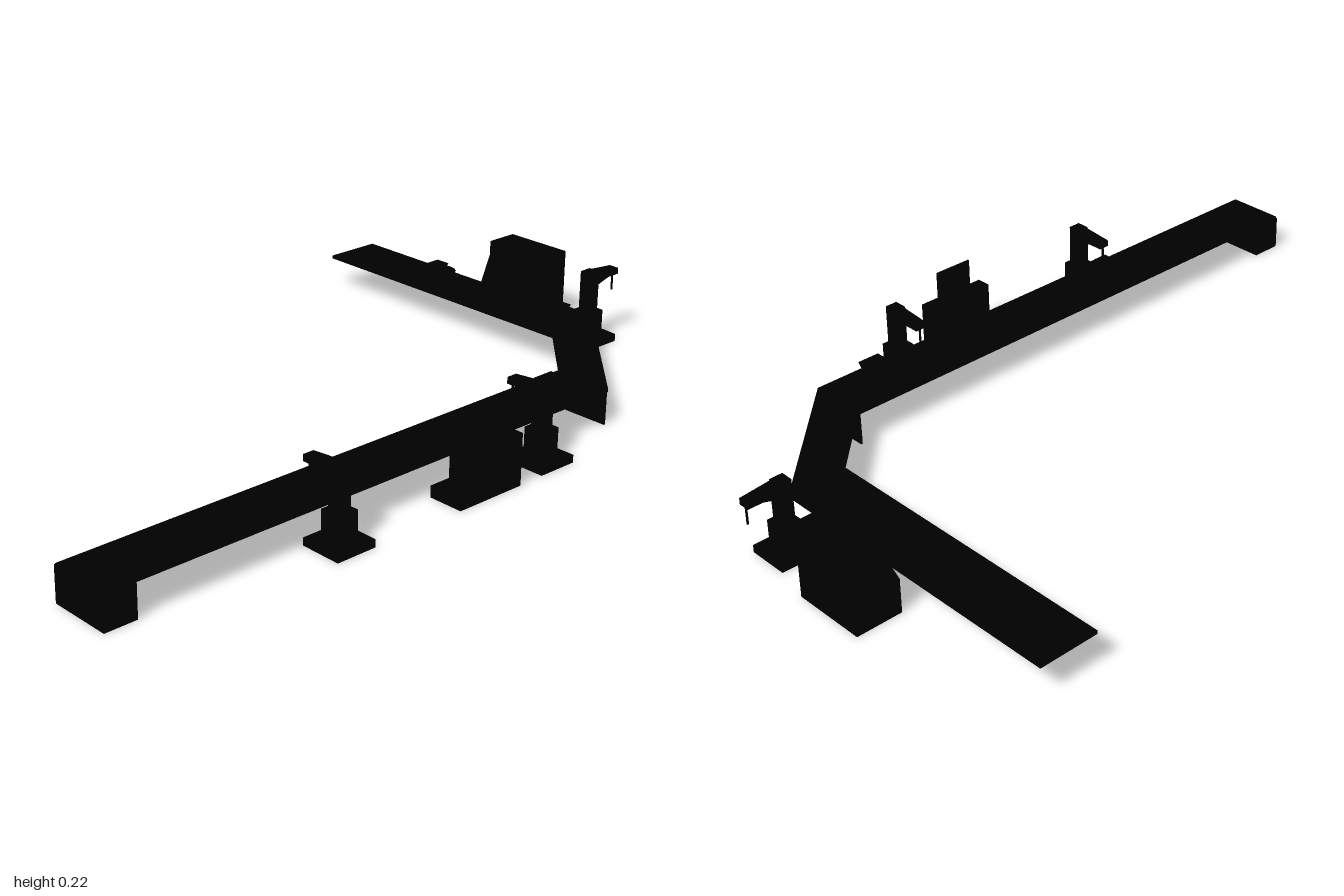
import * as THREE from 'three';

const material = new THREE.MeshStandardMaterial({ color: 0x000000, flatShading: true, side: THREE.DoubleSide });

function add(parent, name, geometry, x = 0, y = 0, z = 0) {
  const mesh = new THREE.Mesh(geometry, material);
  mesh.name = name;
  mesh.position.set(x, y, z);
  parent.add(mesh);
  return mesh;
}

// Box given by its minimum and maximum corners
function block(parent, name, [x0, y0, z0], [x1, y1, z1]) {
  return add(parent, name, new THREE.BoxGeometry(x1 - x0, y1 - y0, z1 - z0),
    (x0 + x1) / 2, (y0 + y1) / 2, (z0 + z1) / 2);
}

// Square frustum standing on y = 0
function frustum(bottom, top, height) {
  const g = new THREE.CylinderGeometry(top / Math.SQRT2, bottom / Math.SQRT2, height, 4);
  return g.rotateY(Math.PI / 4).translate(0, height / 2, 0);
}

// Outline extruded along z, centred on z = 0
function slab(points, depth) {
  const shape = new THREE.Shape(points.map(([x, y]) => new THREE.Vector2(x, y)));
  return new THREE.ExtrudeGeometry(shape, { depth, bevelEnabled: false }).translate(0, 0, -depth / 2);
}

// Arm station reaching towards -x
function station(x, z, turn) {
  const g = new THREE.Group();
  g.name = 'armStation';
  block(g, 'stationBase', [-0.055, 0, -0.055], [0.055, 0.02, 0.055]);
  add(g, 'stationBaseTop', frustum(0.11, 0.07, 0.012), 0, 0.02, 0);
  block(g, 'pedestal', [-0.028, 0.03, -0.028], [0.028, 0.09, 0.028]);
  block(g, 'tower', [-0.018, 0.09, -0.017], [0.018, 0.2, 0.017]);
  add(g, 'arm', slab([[-0.1, 0.173], [-0.06, 0.173], [-0.015, 0.16], [-0.015, 0.198], [-0.1, 0.19]], 0.03));
  block(g, 'needle', [-0.097, 0.125, -0.002], [-0.093, 0.175, 0.002]);
  g.position.set(x, 0, z);
  g.rotation.y = turn;
  return g;
}

// Dish with a small cup, carried on the belt
function dish(x, z) {
  const g = new THREE.Group();
  g.name = 'dishAndCup';
  add(g, 'dish', new THREE.CylinderGeometry(0.051, 0.039, 0.02, 16), 0, 0.102, 0);
  add(g, 'cup', frustum(0.025, 0.042, 0.023), 0, 0.111, 0);
  g.position.set(x, 0, z);
  return g;
}

export function createModel() {
  const model = new THREE.Group();
  model.name = 'conveyorLine';

  // Belt with a diagonal corner
  const belt = slab([[0.38, -1], [0.54, -1], [0.54, 0.53], [0.21, 0.86], [-0.64, 0.86],
    [-0.64, 0.7], [0.21, 0.7], [0.38, 0.53]], 0.009);
  add(model, 'belt', belt.rotateX(-Math.PI / 2), 0, 0.09, 0);

  // Supports under the belt
  block(model, 'endSupport', [0.376, 0, 0.915], [0.54, 0.09, 1]);
  block(model, 'cornerSupport', [0.38, 0, -0.527], [0.54, 0.09, -0.522]);

  // Arm stations
  model.add(station(0.578, 0.4, 0), station(0.578, -0.245, 0), station(0.14, -0.923, -Math.PI / 2));

  // Goods on the belt
  model.add(dish(0.48, 0.405), dish(0.14, -0.805), dish(-0.31, -0.8));
  add(model, 'largeCup', frustum(0.038, 0.062, 0.046), 0.475, 0.094, -0.395);

  // Control desk with a screen
  const desk = new THREE.Group();
  desk.name = 'controlDesk';
  block(desk, 'deskFoot', [0.54, 0, -0.115], [0.635, 0.03, 0.083]);
  block(desk, 'deskBack', [0.621, 0.03, -0.115], [0.635, 0.085, 0.083]);
  block(desk, 'deskInnerPanel', [0.596, 0.03, -0.115], [0.61, 0.085, 0.083]);
  block(desk, 'deskTop', [0.596, 0.085, -0.115], [0.635, 0.133, 0.083]);
  block(desk, 'screenStalk', [0.611, 0.133, -0.03], [0.617, 0.155, -0.012]);
  block(desk, 'screen', [0.61, 0.148, -0.077], [0.615, 0.22, 0.031]);
  model.add(desk);

  // Cabinet with a sloped front
  const cabinet = slab([[-1, 0], [-0.877, 0], [-0.877, 0.09], [-0.908, 0.16], [-0.908, 0.2], [-1, 0.2]], 0.198);
  add(model, 'cabinet', cabinet.rotateY(-Math.PI / 2), -0.113, 0, 0);

  return model;
}
